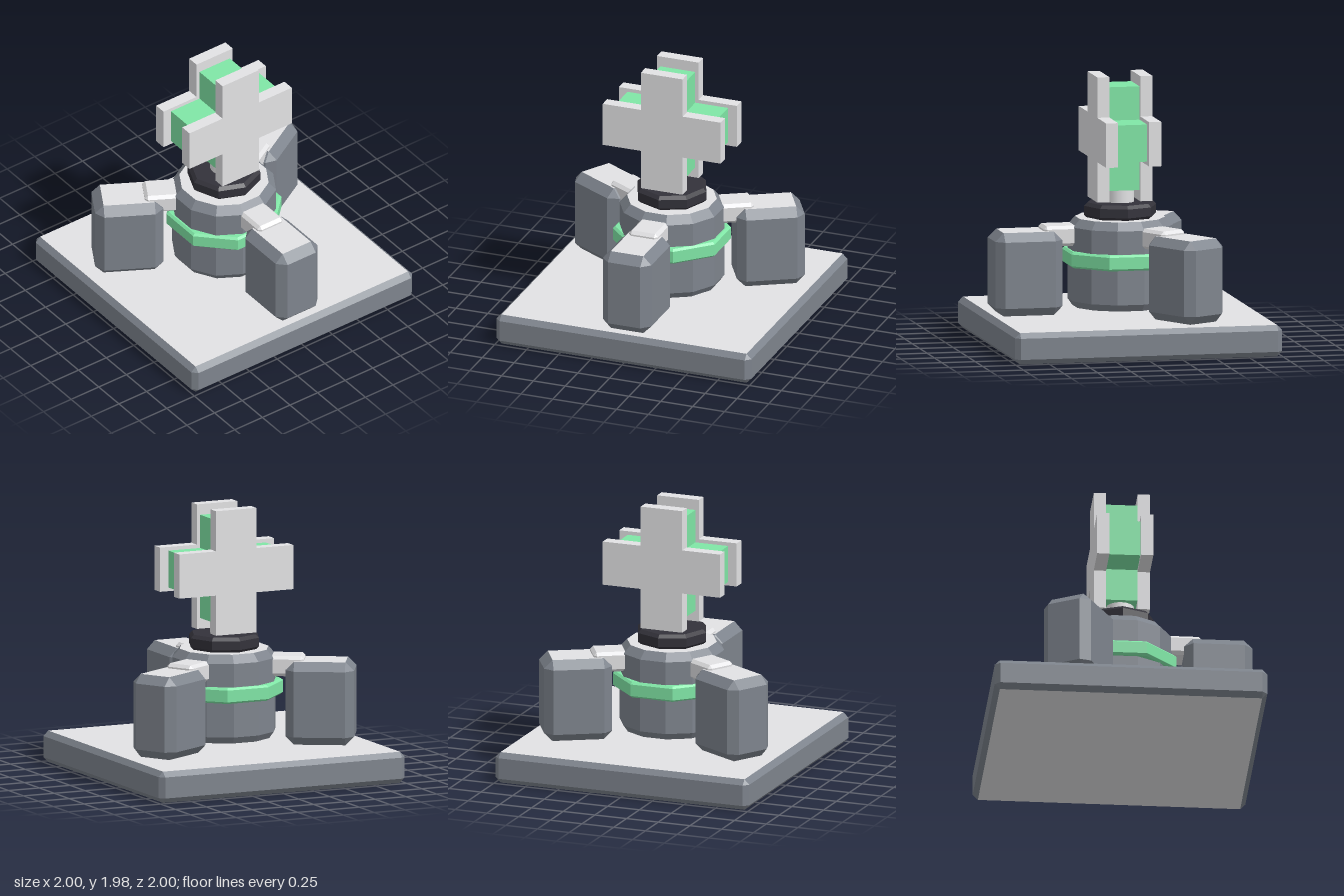
import * as THREE from 'three';
import { ConvexGeometry } from 'three/addons/geometries/ConvexGeometry.js';

const mat = (name, color) => Object.assign(new THREE.MeshStandardMaterial({ color }), { name });

export function createModel() {
  const model = new THREE.Group();
  model.name = 'crossBeacon';
  const dark = mat('slateGrey', 0x7e848d);
  const light = mat('lightGrey', 0xe2e2e4);
  const green = mat('green', 0x80e6a6);
  const black = mat('charcoal', 0x33323a);

  // Faceted solid; level top and bottom faces take the cap material
  function solid(name, points, side, cap = side, parent = model) {
    const geo = new ConvexGeometry(points);
    const normal = geo.attributes.normal;
    for (let i = 0; i < normal.count; i += 3) geo.addGroup(i, 3, Math.abs(normal.getY(i)) > 0.99 ? 1 : 0);
    const mesh = new THREE.Mesh(geo, [side, cap]);
    mesh.name = name;
    parent.add(mesh);
  }

  // Corners of a box with every edge chamfered by c
  function chamferBox(hx, y0, y1, z0, z1, c) {
    const points = [];
    const hy = (y1 - y0) / 2, hz = (z1 - z0) / 2;
    for (const sx of [-1, 1]) for (const sy of [-1, 1]) for (const sz of [-1, 1])
      for (const [a, b, d] of [[0, c, c], [c, 0, c], [c, c, 0]])
        points.push(new THREE.Vector3(
          sx * (hx - a), (y0 + y1) / 2 + sy * (hy - b), (z0 + z1) / 2 + sz * (hz - d)));
    return points;
  }

  // Rings of a regular prism given as [radius, y]
  function prism(sides, phase, rings) {
    const points = [];
    for (const [r, y] of rings) for (let i = 0; i < sides; i++) {
      const a = (i + phase) / sides * Math.PI * 2;
      points.push(new THREE.Vector3(r * Math.sin(a), y, r * Math.cos(a)));
    }
    return points;
  }

  // Base slab
  solid('base', chamferBox(1, 0, 0.232, -1, 1, 0.038), dark, light);

  // Central body with its green band
  solid('body', prism(12, 0.5, [[0.35, 0.275], [0.385, 0.325], [0.385, 0.87], [0.33, 0.93]]), dark, light);
  solid('band', prism(8, 0.5, [[0.415, 0.58], [0.433, 0.595], [0.433, 0.682], [0.415, 0.697]]), green);

  // Turntable and neck
  solid('turntable', prism(8, 0, [[0.245, 0.925], [0.27, 0.95], [0.27, 1.015], [0.245, 1.04]]), black);
  const neck = new THREE.Mesh(new THREE.CylinderGeometry(0.103, 0.103, 0.13, 16), light);
  neck.name = 'neck';
  neck.position.y = 1.095;
  model.add(neck);

  // Three outer blocks joined to the body by short arms
  for (let i = 0; i < 3; i++) {
    const unit = new THREE.Group();
    unit.name = 'outerUnit' + (i + 1);
    solid('block', chamferBox(0.19, 0.235, 0.85, 0.46, 0.962, 0.063), dark, light, unit);
    solid('arm', chamferBox(0.113, 0.735, 0.885, 0.25, 0.592, 0.023), light, light, unit);
    unit.rotation.y = i * Math.PI * 2 / 3;
    model.add(unit);
  }

  // Cross: green core between two larger plates
  function cross(name, w, hx, hy, z0, z1, material) {
    const corners = [[w, hy], [-w, hy], [-w, w], [-hx, w], [-hx, -w], [-w, -w],
      [-w, -hy], [w, -hy], [w, -w], [hx, -w], [hx, w], [w, w]];
    const shape = new THREE.Shape(corners.map(([x, y]) => new THREE.Vector2(x, y)));
    const geo = new THREE.ExtrudeGeometry(shape, { depth: z1 - z0, bevelEnabled: false });
    const mesh = new THREE.Mesh(geo, material);
    mesh.name = name;
    mesh.position.set(0, 1.521, z0);
    model.add(mesh);
  }
  cross('crossCore', 0.137, 0.395, 0.383, -0.116, 0.116, green);
  cross('crossFrontPlate', 0.164, 0.463, 0.462, 0.116, 0.206, light);
  cross('crossBackPlate', 0.164, 0.463, 0.462, -0.206, -0.116, light);

  return model;
}
